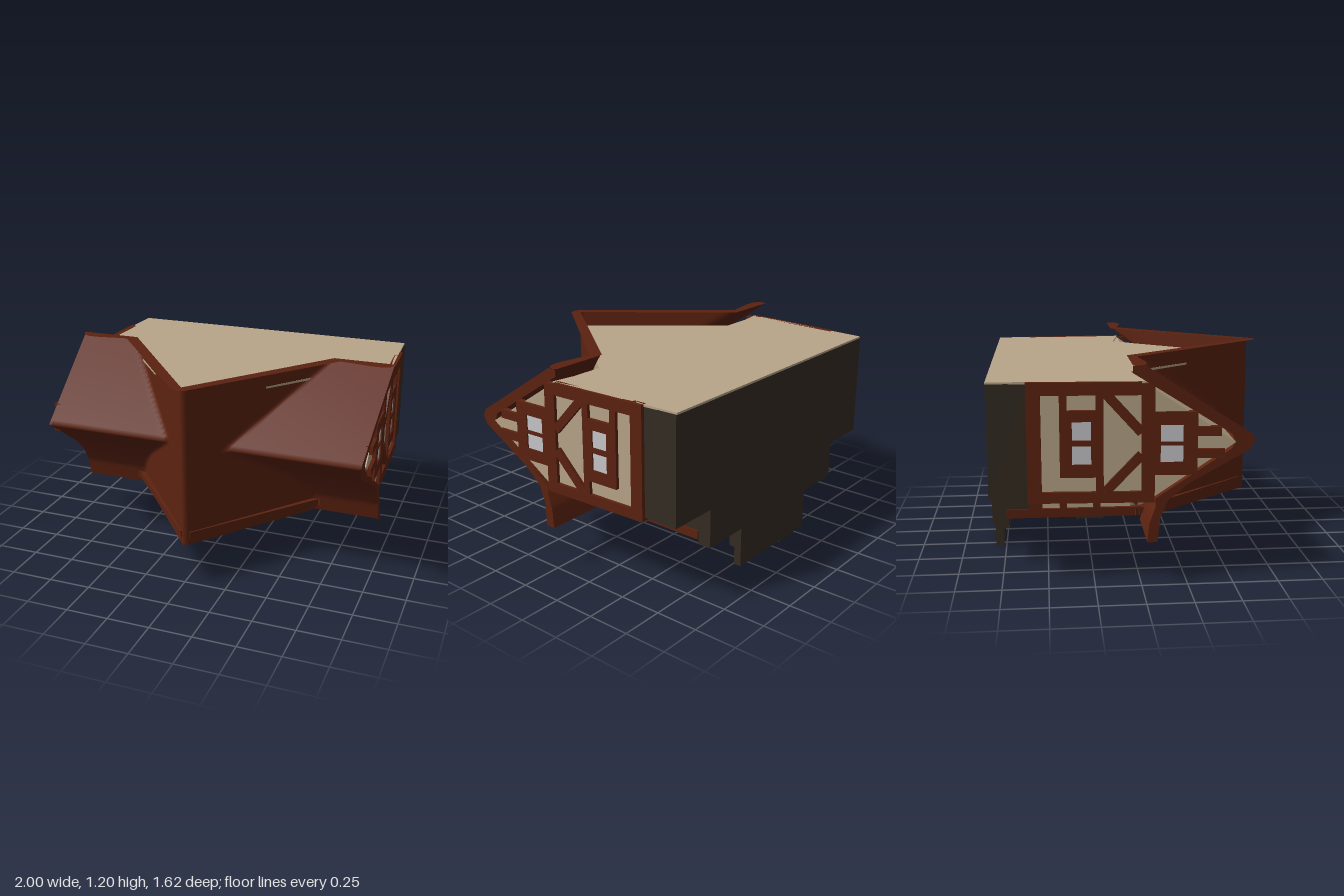
import * as THREE from 'three';

const mat = (name, color, double) => {
  const m = new THREE.MeshStandardMaterial({ color });
  m.name = name;
  if (double) m.side = THREE.DoubleSide;
  return m;
};

// Half-timbered house lying on its front: house up is +z, house front is -y.
export function createModel() {
  const root = new THREE.Group();
  root.name = 'timberHouse';
  const plaster = mat('plaster', 0xb8a589);
  const timber = mat('timber', 0x5c2210);
  const roofBrown = mat('roofBrown', 0x5e2310, true);
  const stone = mat('stone', 0x352c22);
  const glass = mat('glass', 0xc8c8cb);
  const doorGrey = mat('doorGrey', 0xb0b0b2);

  const add = (parent, name, geo, m) => {
    const mesh = new THREE.Mesh(geo, m);
    mesh.name = name;
    parent.add(mesh);
    return mesh;
  };
  const shapeOf = (pts) => new THREE.Shape(pts.map(([a, b]) => new THREE.Vector2(a, b)));
  const block = (parent, name, x0, x1, y0, y1, z0, z1, m) =>
    add(parent, name, new THREE.BoxGeometry(x1 - x0, y1 - y0, z1 - z0)
      .translate((x0 + x1) / 2, (y0 + y1) / 2, (z0 + z1) / 2), m);
  // Beam and panel on a wall group whose local z points out of the wall
  const beam = (wall, a0, b0, a1, b1, w, name = 'beam') => {
    const len = Math.hypot(a1 - a0, b1 - b0);
    const mesh = add(wall, name, new THREE.BoxGeometry(len, w, 0.04), timber);
    mesh.position.set((a0 + a1) / 2, (b0 + b1) / 2, 0);
    mesh.rotation.z = Math.atan2(b1 - b0, a1 - a0);
  };
  const panel = (wall, name, a0, a1, b0, b1, front, m) =>
    block(wall, name, Math.min(a0, a1), Math.max(a0, a1), b0, b1, front - 0.008, front, m);
  const wallGroup = (name) => {
    const g = new THREE.Group();
    g.name = name;
    root.add(g);
    return g;
  };

  // Main body: gable section run along x, narrowing slightly toward the base
  const bodyGeo = new THREE.ExtrudeGeometry(
    shapeOf([[-0.6, 0.48], [-0.6, 1.1], [0.02, 1.1], [0.5, 0.78], [0.06, 0.48]]),
    { depth: 2, bevelEnabled: false }).rotateY(-Math.PI / 2).translate(1, 0, 0);
  const bp = bodyGeo.attributes.position;
  for (let i = 0; i < bp.count; i++) bp.setX(i, bp.getX(i) * (0.953 + 0.043 * bp.getZ(i)));
  bodyGeo.computeVertexNormals();
  add(root, 'mainWalls', bodyGeo, plaster);

  // Cross gable running from front to back
  add(root, 'crossGable', new THREE.ExtrudeGeometry(
    shapeOf([[-0.62, -0.6], [0.62, -0.6], [0.62, -0.03], [0, 0.74], [-0.62, -0.03]]),
    { depth: 0.8, bevelEnabled: false }).rotateX(Math.PI / 2).translate(0, 1.1, 0), plaster);
  // Flat back wall covering the base as well
  add(root, 'backWall', new THREE.ExtrudeGeometry(
    shapeOf([[-0.92, -0.81], [0.92, -0.81], [0.955, 0.02], [0.64, -0.03], [0, 0.745], [-0.64, -0.03], [-0.955, 0.02]]),
    { depth: 0.012, bevelEnabled: false }).rotateX(Math.PI / 2).translate(0, 1.11, 0), plaster);

  // Stone base and entrance steps
  block(root, 'stoneBase', -0.925, 0.925, 0.48, 1.1, -0.81, -0.6, stone);
  block(root, 'stoneBaseFront', -0.63, 0.63, 0.33, 0.5, -0.81, -0.6, stone);
  block(root, 'stonePlinth', -0.63, 0.63, 0.25, 0.34, -0.81, -0.73, stone);
  block(root, 'upperStep', -0.335, 0.335, 0.12, 0.26, -0.81, -0.73, stone);
  block(root, 'lowerStep', -0.335, 0.335, 0.01, 0.13, -0.81, -0.765, stone);
  block(root, 'footStone', -0.23, -0.07, 0, 0.08, -0.81, -0.763, stone);

  // Roof sheet: the higher of the flared main roof and the cross roof
  const profile = [[0.24, 0.03], [0.35, 0.06], [0.45, 0.12], [0.55, 0.22], [0.78, 0.54], [1.2, -0.04]];
  const mainHeight = (y) => {
    let i = 0;
    while (i < profile.length - 2 && y > profile[i + 1][0]) i++;
    const [y0, z0] = profile[i], [y1, z1] = profile[i + 1];
    return z0 + (z1 - z0) * (y - y0) / (y1 - y0);
  };
  const edgeX = (y) => 0.965 + (y > 0.78 ? 0.035 * (y - 0.78) / 0.42 : 0.02 * (0.78 - y) / 0.54);
  const roofGeo = new THREE.PlaneGeometry(2, 0.96, 100, 48).translate(0, 0.72, 0);
  const rp = roofGeo.attributes.position;
  for (let i = 0; i < rp.count; i++) {
    const x = rp.getX(i), y = rp.getY(i);
    rp.setX(i, x * edgeX(y));
    rp.setZ(i, Math.max(mainHeight(y), 0.755 - 1.24 * Math.abs(x * edgeX(y))));
  }
  roofGeo.computeVertexNormals();
  add(root, 'roof', roofGeo, roofBrown);

  // Roof trim on front and back: flat bands around the cross gable
  const trim = (name, y, dir, half) => {
    const pts = [...half, ...half.slice().reverse().map(([x, z]) => [-x, z])];
    const outer = pts.map(([x, z]) => [x, -dir * z]);
    add(root, name, new THREE.ShapeGeometry(shapeOf(outer))
      .rotateX(-dir * Math.PI / 2).translate(0, y, 0), timber);
  };
  trim('backRoofTrim', 1.2, 1, [[0.001, 0.745], [0.64, -0.05], [0.985, -0.05], [1.0, -0.03],
    [0.985, 0.01], [0.94, 0.03], [0.88, 0.03], [0.69, 0.0], [0.04, 0.79], [0.001, 0.805]]);
  trim('frontRoofTrim', 0.24, -1, [[0.001, 0.73], [0.6, 0.0], [0.97, 0.01], [0.98, 0.04],
    [0.95, 0.075], [0.62, 0.075], [0.04, 0.79], [0.001, 0.805]]);

  for (const s of [1, -1]) {
    const side = s > 0 ? 'left' : 'right';
    // Bargeboard of the side gable
    const barge = [[-0.05, 1.2], [0.0, 1.2], [0.58, 0.83], [0.607, 0.785], [0.58, 0.74], [0.25, 0.56], [0.14, 0.47],
      [0.1, 0.38], [0.085, 0.24], [0.03, 0.24], [0.04, 0.34], [0.075, 0.44], [0.07, 0.48], [0.48, 0.745],
      [0.5, 0.785], [0.48, 0.825], [0.07, 1.085], [-0.05, 1.16]];
    const bargeGeo = new THREE.ShapeGeometry(shapeOf(barge.map(([z, y]) => [-s * z, y]))).rotateY(s * Math.PI / 2);
    const gp = bargeGeo.attributes.position;
    for (let i = 0; i < gp.count; i++) gp.setX(i, s * (edgeX(gp.getY(i)) + 0.002));
    add(root, side + 'Bargeboard', bargeGeo, timber);

    // Timber frame on the side wall, given as z and y pairs
    const wall = wallGroup(side + 'SideFrame');
    wall.position.x = s * 0.953;
    wall.rotation.y = s * (Math.PI / 2 + 0.043);
    const sideBeams = [
      [0.035, 0.46, 0.035, 1.1, 0.07], [-0.565, 0.46, -0.565, 1.11, 0.075], [0, 1.075, -0.53, 1.075, 0.07],
      [0.04, 0.49, -0.6, 0.49, 0.06], [-0.22, 0.52, -0.22, 1.04, 0.04], [-0.41, 0.6, -0.41, 1.04, 0.04],
      [-0.2, 0.635, -0.43, 0.635, 0.07], [-0.24, 0.785, -0.4, 0.785, 0.03], [-0.2, 0.93, -0.43, 0.93, 0.06],
      [-0.25, 0.65, -0.25, 0.92, 0.03], [-0.38, 0.65, -0.38, 0.92, 0.03],
      [0, 0.84, -0.19, 1.05, 0.05], [0, 0.72, -0.19, 0.52, 0.05],
      [0.268, 0.61, 0.268, 0.95, 0.055], [0.07, 0.645, 0.25, 0.645, 0.07], [0.07, 0.78, 0.25, 0.78, 0.02],
      [0.07, 0.915, 0.25, 0.915, 0.07], [0.085, 0.65, 0.085, 0.92, 0.03], [0.23, 0.65, 0.23, 0.92, 0.02],
      [0.29, 0.845, 0.42, 0.845, 0.05], [0.29, 0.725, 0.44, 0.725, 0.05]];
    for (const [z0, y0, z1, y1, w] of sideBeams) beam(wall, -s * z0, y0, -s * z1, y1, w);
    for (const [z0, z1, y0, y1] of [[-0.365, -0.265, 0.67, 0.9], [0.1, 0.22, 0.68, 0.88]])
      panel(wall, 'sideWindow', -s * z0, -s * z1, y0, y1, 0.012, glass);

    // Short side wall of the projecting front
    const bay = wallGroup(side + 'BayFrame');
    bay.position.x = s * 0.62;
    bay.rotation.y = s * Math.PI / 2;
    for (const [z0, y0, z1, y1, w] of [[0.03, 0.305, -0.73, 0.305, 0.05], [-0.22, 0.3, -0.22, 0.48, 0.04],
      [-0.41, 0.3, -0.41, 0.48, 0.04], [-0.565, 0.28, -0.565, 0.48, 0.075], [0.02, 0.36, -0.12, 0.46, 0.05]])
      beam(bay, -s * z0, y0, -s * z1, y1, w);

    // Recessed front wall beside the projection
    const wing = wallGroup(side + 'WingFrame');
    wing.position.y = 0.48;
    wing.rotation.x = Math.PI / 2;
    for (const [x0, z0, x1, z1, w] of [[0.62, -0.565, 0.93, -0.565, 0.07], [0.62, 0.02, 0.95, 0.02, 0.07],
      [0.92, -0.6, 0.94, 0.03, 0.05], [0.66, -0.4, 0.91, -0.4, 0.05], [0.66, -0.14, 0.91, -0.14, 0.05],
      [0.68, -0.57, 0.68, 0.02, 0.04], [0.88, -0.4, 0.88, -0.14, 0.04], [0.78, -0.4, 0.78, -0.14, 0.025]])
      beam(wing, s * x0, z0, s * x1, z1, w);
    panel(wing, 'wingWindow', s * 0.69, s * 0.87, -0.38, -0.16, 0.012, glass);

    // Wall lantern: dark caps and corner posts around a pale body
    const lamp = wallGroup(side + 'Lantern');
    lamp.position.set(s * 0.415, 0.245, -0.25);
    block(lamp, 'lanternBody', -0.045, 0.045, -0.025, 0.05, -0.065, 0.055, plaster);
    block(lamp, 'lanternTop', -0.055, 0.055, -0.035, 0.05, 0.05, 0.08, stone);
    block(lamp, 'lanternBottom', -0.055, 0.055, -0.035, 0.05, -0.08, -0.065, stone);
    for (const x of [-0.05, 0, 0.05])
      block(lamp, 'lanternPost', x - 0.006, x + 0.006, -0.03, -0.018, -0.07, 0.055, stone);
    for (const x of [-0.05, 0.038])
      block(lamp, 'lanternBar', x, x + 0.012, -0.03, 0.05, -0.01, 0.005, stone);
  }

  // Front gable: local x is x, local y is z, facing -y
  const front = wallGroup('frontFrame');
  front.position.y = 0.3;
  front.rotation.x = Math.PI / 2;
  beam(front, -0.62, 0.02, 0.62, 0.02, 0.07, 'crossBeam');
  beam(front, -0.34, 0.335, 0.34, 0.335, 0.05, 'collarBeam');
  beam(front, -0.5, 0.1, 0.5, 0.1, 0.04, 'windowSill');
  beam(front, 0, 0.34, 0, 0.7, 0.05, 'kingPost');
  for (const s of [1, -1]) {
    beam(front, s * 0.62, -0.02, 0, 0.71, 0.07, 'rafter');
    beam(front, s * 0.6, -0.72, s * 0.6, 0.02, 0.06, 'cornerPost');
    beam(front, s * 0.29, 0.04, s * 0.29, 0.35, 0.05, 'gablePost');
    beam(front, s * 0.36, -0.565, s * 0.6, -0.565, 0.07, 'sill');
    beam(front, s * 0.38, 0.0, s * 0.58, -0.2, 0.05, 'brace');
    beam(front, s * 0.02, 0.36, s * 0.17, 0.5, 0.05, 'gableBrace');
    beam(front, s * 0.09, 0.1, s * 0.09, 0.33, 0.03, 'mullion');
  }
  beam(front, -0.28, 0.215, 0.28, 0.215, 0.03, 'glazingBar');
  for (const x of [-0.18, 0, 0.18]) for (const z of [0.125, 0.235])
    panel(front, 'gablePane', x - 0.07, x + 0.07, z, z + 0.07, 0.012, glass);

  // Arched doorway
  const archShape = (r) => {
    const sh = new THREE.Shape();
    sh.moveTo(r, -0.73);
    sh.lineTo(r, -0.36);
    sh.absarc(0, -0.36, r, 0, Math.PI, false);
    sh.lineTo(-r, -0.73);
    sh.closePath();
    return sh;
  };
  const surround = archShape(0.355);
  surround.holes.push(new THREE.Path(archShape(0.295).getPoints(24).reverse().map((p) => new THREE.Vector2(p.x, Math.max(p.y, -0.72)))));
  add(front, 'doorSurround', new THREE.ExtrudeGeometry(surround,
    { depth: 0.04, bevelEnabled: false, curveSegments: 24 }), timber);
  add(front, 'door', new THREE.ExtrudeGeometry(archShape(0.3),
    { depth: 0.008, bevelEnabled: false, curveSegments: 24 }), doorGrey);
  return root;
}
